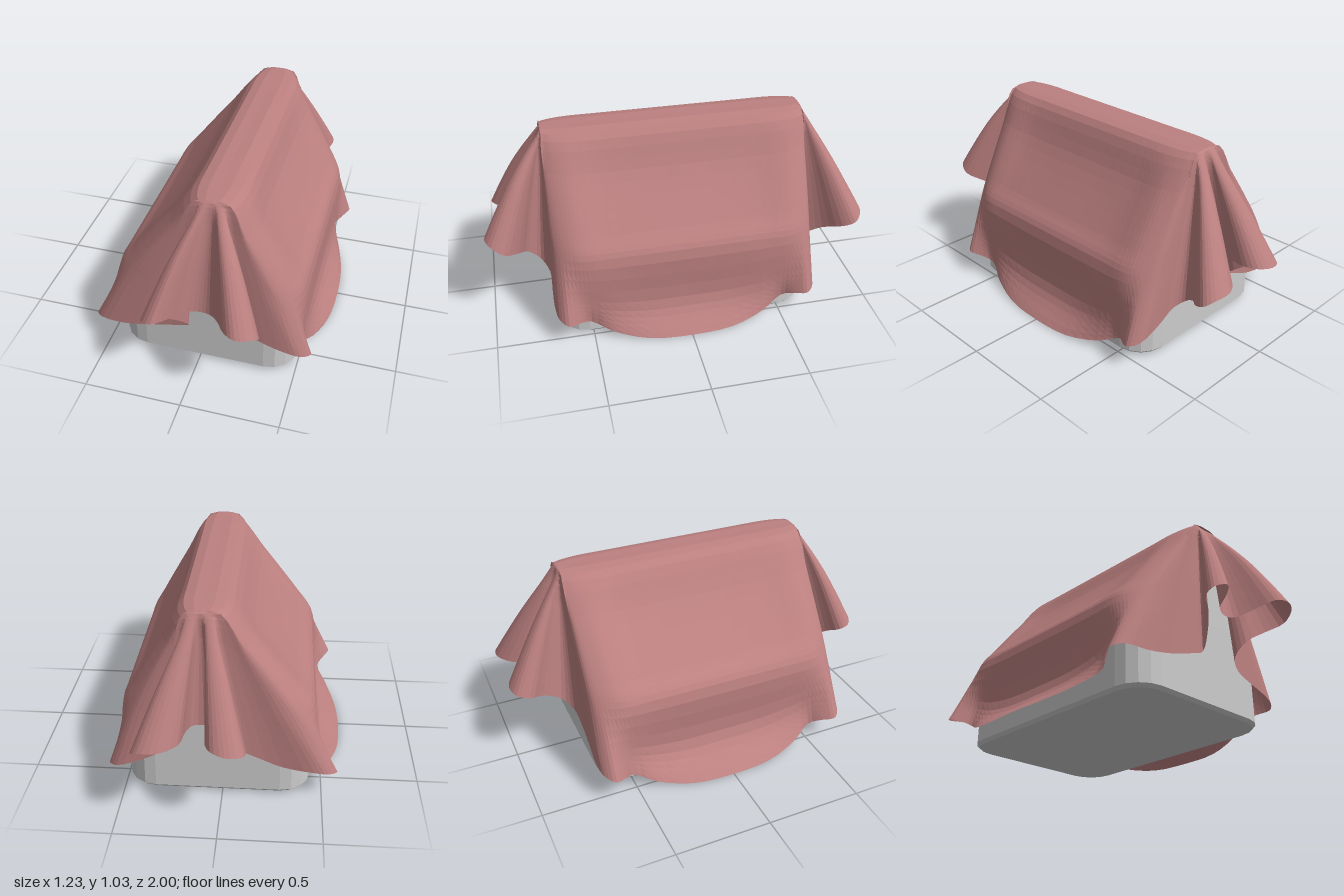
import * as THREE from 'three';

const V = (x, y, z) => new THREE.Vector3(x, y, z);
const { clamp, lerp } = THREE.MathUtils;
const RIDGE_X = 0.085;

// Quarter of the side hem, from near the middle of a long side to its corner
const sideHem = [
  [0.6, 0.005, 0.22], [0.55, 0.04, 0.4], [0.505, 0.09, 0.51],
  [0.545, 0.125, 0.57], [0.575, 0.14, 0.63], [0.53, 0.155, 0.675],
];
// Front hem from left to right: flat panel, two tongue-like pleats, flat panel
const frontHem = [
  [0.45, 0.18, 0.69], [0.35, 0.21, 0.69], [0.25, 0.25, 0.69], [0.18, 0.29, 0.73],
  [0.2, 0.36, 0.79], [0.3, 0.43, 0.84], [0.37, 0.48, 0.91], [0.35, 0.52, 0.97],
  [0.28, 0.53, 1.0], [0.22, 0.53, 0.97], [0.16, 0.49, 0.87], [0.1, 0.455, 0.8],
  [0.04, 0.45, 0.79], [-0.03, 0.455, 0.82], [-0.08, 0.47, 0.9], [-0.14, 0.48, 0.96],
  [-0.2, 0.46, 0.93], [-0.2, 0.44, 0.88], [-0.13, 0.4, 0.83], [-0.06, 0.33, 0.76],
  [-0.04, 0.26, 0.71], [-0.1, 0.235, 0.7], [-0.25, 0.19, 0.69], [-0.4, 0.16, 0.69],
];
// Back hem from right to left
const backHem = [
  [-0.46, 0.17, -0.69], [-0.3, 0.19, -0.68], [-0.18, 0.24, -0.68], [-0.1, 0.28, -0.69],
  [-0.05, 0.33, -0.74], [-0.08, 0.4, -0.84], [-0.13, 0.44, -0.92], [-0.11, 0.46, -0.98],
  [-0.04, 0.47, -1.0], [0.03, 0.48, -0.97], [0.06, 0.48, -0.9], [0.03, 0.46, -0.8],
  [0.06, 0.44, -0.71], [0.13, 0.44, -0.71], [0.16, 0.46, -0.8], [0.18, 0.47, -0.92],
  [0.27, 0.47, -0.99], [0.36, 0.46, -0.98], [0.4, 0.43, -0.94], [0.38, 0.4, -0.88],
  [0.3, 0.35, -0.8], [0.26, 0.29, -0.72], [0.3, 0.25, -0.68], [0.4, 0.2, -0.68],
];

// Each station is a column: crest, ridge edge, two slope points, eave, lower drape, hem
function sideStation([x, y, z]) {
  const s = Math.sign(x), depth = Math.abs(z);
  const corner = clamp((depth - 0.5) / 0.175, 0, 1) ** 2;
  const middle = Math.max(0, 1 - (z / 0.55) ** 4);
  const zIn = clamp(z, -0.665, 0.665);
  const ridge = V(RIDGE_X + s * (0.1 - 0.03 * corner), 1.02, zIn);
  const eave = V((s > 0 ? 0.503 : -0.452) - s * 0.08 * corner, 0.47, zIn);
  // the cloth is dished between ridge and eave, but taut at the gable ends
  const slope = (t, sag) => ridge.clone().lerp(eave, t)
    .add(V(s * 0.78, 0.62, 0).multiplyScalar(0.008 - sag * middle));
  const hem = V(x, y, z);
  const low = eave.clone().lerp(hem, 0.7);
  // the wall hangs straight along the side and only flares near the ground
  low.x = lerp(low.x, eave.x + s * 0.015, clamp((0.6 - depth) / 0.15, 0, 1));
  return [V(RIDGE_X, 1.03, clamp(z, -0.65, 0.65)), ridge, slope(0.35, 0.028), slope(0.8, 0.018), eave, low, hem];
}

function endStation([x, y, z], i, list) {
  const s = Math.sign(z);
  const across = s * (0.5 - (i + 0.5) / list.length);
  const hem = V(x, y, z);
  const top = V(RIDGE_X + 0.18 * across, 1.015, s * 0.67);
  const puff = s > 0 ? 0.04 : 0.018;
  const down = (t) => {
    const p = top.clone().lerp(hem, t);
    p.y += puff * Math.sin(Math.PI * t);
    return p;
  };
  return [V(RIDGE_X, 1.03, s * 0.65), top, ...[0.25, 0.5, 0.65, 0.85, 1].map(down)];
}

// Closed skin over a ring of equal-length columns, each listed from top to bottom
function skin(columns) {
  const rows = columns[0].length, n = columns.length, index = [];
  for (let i = 0; i < n; i++) {
    for (let j = 0; j < rows - 1; j++) {
      const a = i * rows + j, b = ((i + 1) % n) * rows + j;
      index.push(a, b, a + 1, b, b + 1, a + 1);
    }
  }
  const g = new THREE.BufferGeometry().setFromPoints(columns.flat());
  g.setIndex(index);
  g.computeVertexNormals();
  return g;
}

function drapeGeometry(perStation = 3, rows = 24) {
  const quarter = (sx, sz) => sideHem.map(([x, y, z]) => sideStation([sx * x, y, sz * z]));
  const stations = [
    sideStation([0.615, 0, 0]), ...quarter(1, 1), ...frontHem.map(endStation),
    ...quarter(-1, 1).reverse(), sideStation([-0.615, 0, 0]), ...quarter(-1, -1),
    ...backHem.map(endStation), ...quarter(1, -1).reverse(),
  ];
  // Smooth closed loop at every level, then a smooth column down through the levels
  const loops = stations[0].map((_, k) => new THREE.CatmullRomCurve3(stations.map((s) => s[k]), true));
  const n = stations.length * perStation;
  const columns = [];
  for (let i = 0; i < n; i++) {
    const curve = new THREE.CatmullRomCurve3(loops.map((l) => l.getPoint(i / n)));
    columns.push(Array.from({ length: rows + 1 }, (_, j) => {
      // two rows on the crest, the rest spread over the hanging cloth
      const p = curve.getPoint(j < 2 ? j / 12 : lerp(1 / 6, 1, (j - 2) / (rows - 2)));
      p.y = Math.max(0, p.y);
      return p;
    }));
  }
  return skin(columns);
}

// House-shaped block: rounded rectangles stacked from the ridge down to the ground
function blockGeometry() {
  const levels = [ // y, x min, x max, half depth, corner radius
    [1.0, 0.02, 0.15, 0.64, 0.06], [0.97, 0.0, 0.17, 0.655, 0.07],
    [0.455, -0.435, 0.485, 0.66, 0.15], [0.025, -0.44, 0.49, 0.66, 0.15], [0.008, -0.425, 0.475, 0.645, 0.14],
  ];
  const steps = 4, columns = [];
  for (let q = 0; q < 4; q++) {
    for (let k = 0; k <= steps; k++) {
      const a = (q + k / steps) * Math.PI / 2;
      const right = q === 0 || q === 3, front = q < 2;
      const ring = levels.map(([y, x0, x1, d, r]) => V(
        (right ? x1 - r : x0 + r) + r * Math.cos(a), y,
        0.01 + (front ? d - r : r - d) + r * Math.sin(a)));
      columns.push([V(RIDGE_X, 1.0, 0), ...ring, V(0.025, 0.008, 0)]);
    }
  }
  return skin(columns);
}

export function createModel() {
  const grey = new THREE.MeshStandardMaterial({ color: 0xcccccc, flatShading: true });
  const fabric = new THREE.MeshStandardMaterial({ color: 0xbc8080, flatShading: true, side: THREE.DoubleSide });
  const model = new THREE.Group();
  model.name = 'drapedBlock';
  const add = (name, geometry, material) => {
    const mesh = new THREE.Mesh(geometry, material);
    mesh.name = name;
    model.add(mesh);
  };
  add('gabledBlock', blockGeometry(), grey);
  add('drapedCloth', drapeGeometry(), fabric);
  return model;
}
